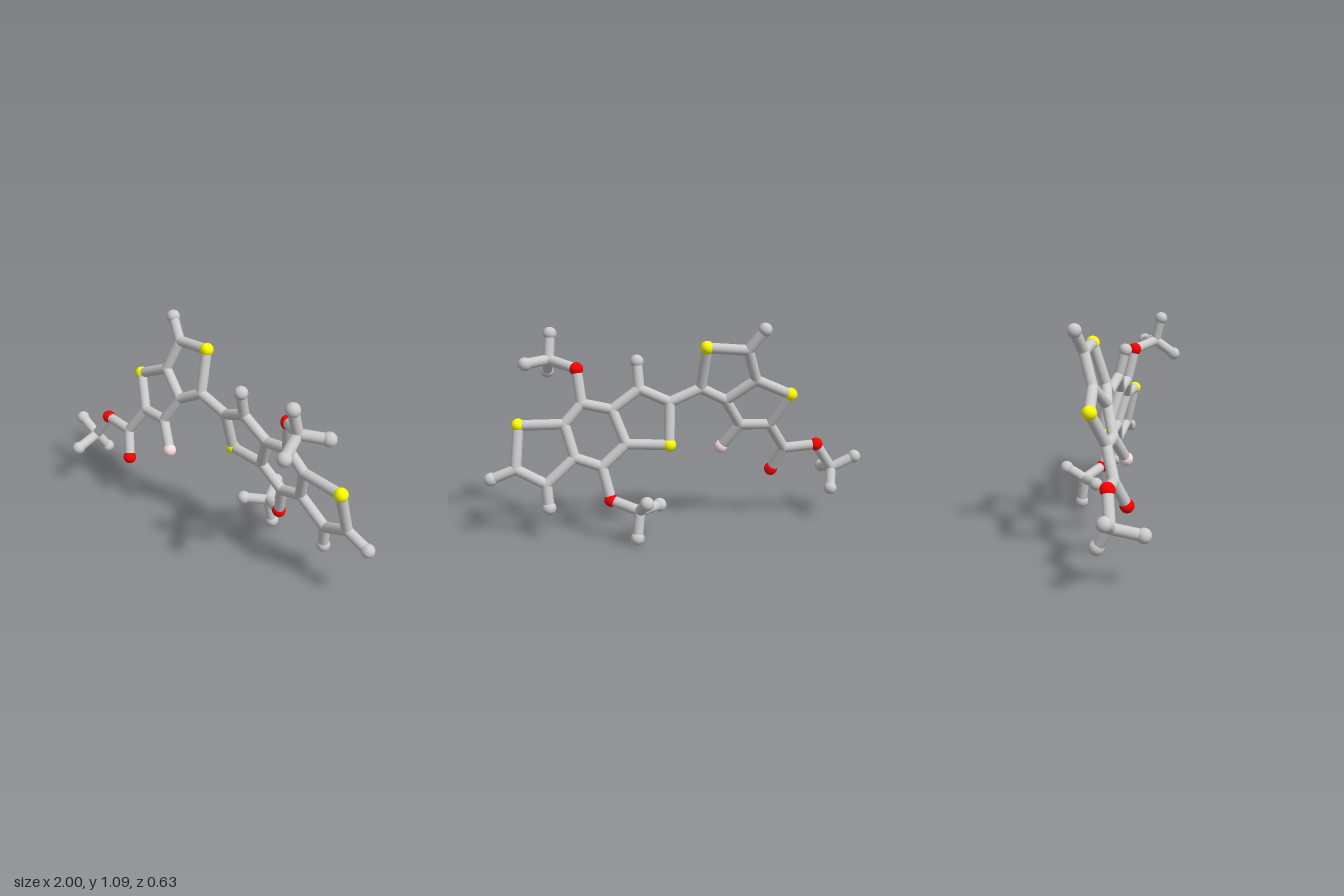
import * as THREE from 'three';

const ROD = 0.027, BALL = 0.035;
const COLORS = { grey: 0xcccccc, yellow: 0xffff00, red: 0xff0000, pink: 0xf8dbe1 };

// Each fused ring system is flat: z follows from x and y.
const leftPlane = (x, y) => 0.248 + 0.105 * x - 0.336 * y;
const rightPlane = (x, y) => -0.207 + 0.134 * x + 0.245 * y;

// Joints are rod-wide, ends and coloured atoms are larger balls: [kind, x, y, z or plane]
const ATOMS = {
  // left double ring
  a1: ['joint', -0.325, 0.955, leftPlane], a2: ['yellow', -0.12, 0.97, leftPlane],
  a3: ['joint', -0.1, 0.755, -0.025], a4: ['joint', -0.235, 0.685, leftPlane],
  a5: ['joint', -0.38, 0.795, leftPlane], a6: ['yellow', -0.565, 0.713, leftPlane],
  a7: ['joint', -0.475, 0.545, leftPlane], a8: ['joint', -0.32, 0.545, leftPlane],
  a9: ['grey', -0.4, 1.06, -0.14], a10: ['pink', -0.23, 0.415, 0.085],
  // left side chain
  b1: ['joint', -0.57, 0.4, 0.06], b2: ['red', -0.515, 0.27, 0.115],
  b3: ['red', -0.745, 0.415, 0.05], b4: ['joint', -0.84, 0.275, 0.07],
  b5: ['grey', -0.965, 0.335, 0.06], b6: ['grey', -0.835, 0.245, 0.215],
  b7: ['grey', -0.82, 0.178, 0.01],
  // right triple ring
  c1: ['joint', 0.06, 0.69, rightPlane], c2: ['yellow', 0.07, 0.48, rightPlane],
  c3: ['joint', 0.285, 0.485, rightPlane], c4: ['joint', 0.35, 0.655, rightPlane],
  c5: ['joint', 0.21, 0.755, rightPlane], c6: ['joint', 0.5, 0.685, rightPlane],
  c7: ['joint', 0.59, 0.585, rightPlane], c8: ['joint', 0.545, 0.42, rightPlane],
  c9: ['joint', 0.41, 0.375, rightPlane], c10: ['yellow', 0.82, 0.58, rightPlane],
  c11: ['joint', 0.84, 0.365, rightPlane], c12: ['joint', 0.69, 0.29, rightPlane],
  c13: ['grey', 0.217, 0.89, 0.04], c14: ['grey', 0.965, 0.315, 0.005],
  c15: ['grey', 0.68, 0.17, -0.06],
  // upper side chain
  d1: ['red', 0.52, 0.855, 0.067], d2: ['joint', 0.655, 0.89, 0.175],
  d3: ['grey', 0.645, 1.018, 0.207], d4: ['grey', 0.775, 0.88, 0.106],
  d5: ['grey', 0.665, 0.813, 0.28],
  // lower side chain
  e1: ['red', 0.37, 0.21, -0.1], e2: ['joint', 0.235, 0.172, -0.185],
  e3: ['grey', 0.21, 0.24, -0.28], e4: ['grey', 0.125, 0.175, -0.11],
  e5: ['grey', 0.25, 0.036, -0.203],
};

// Chains of joined atoms
const CHAINS = {
  leftRingRod: ['a1 a2 a3 a4 a5 a1', 'a5 a6 a7 a8 a4', 'a1 a9', 'a8 a10'],
  leftChainRod: ['a7 b1 b3 b4 b5', 'b1 b2', 'b4 b6', 'b4 b7'],
  linkRod: ['a3 c1'],
  rightRingRod: ['c1 c2 c3 c4 c5 c1', 'c4 c6 c7 c8 c9 c3', 'c7 c10 c11 c12 c8',
    'c5 c13', 'c11 c14', 'c12 c15'],
  upperChainRod: ['c6 d1 d2 d3', 'd2 d4', 'd2 d5'],
  lowerChainRod: ['c9 e1 e2 e3', 'e2 e4', 'e2 e5'],
};

export function createModel() {
  const model = new THREE.Group();
  model.name = 'molecule';
  const materials = {};
  for (const key in COLORS) materials[key] = new THREE.MeshStandardMaterial({ color: COLORS[key] });

  const ballGeometry = new THREE.SphereGeometry(BALL, 28, 18);
  const jointGeometry = new THREE.SphereGeometry(ROD, 24, 16);
  const rodGeometry = new THREE.CylinderGeometry(ROD, ROD, 1, 24, 1, true);
  const up = new THREE.Vector3(0, 1, 0);

  // Balls and joints
  const points = {};
  for (const [id, [kind, x, y, z]] of Object.entries(ATOMS)) {
    const joint = kind === 'joint';
    const mesh = new THREE.Mesh(joint ? jointGeometry : ballGeometry, materials[joint ? 'grey' : kind]);
    mesh.name = joint ? 'joint' : kind + 'Ball';
    mesh.position.set(x, y, typeof z === 'function' ? z(x, y) : z);
    points[id] = mesh.position;
    model.add(mesh);
  }

  // Rods between neighbours
  for (const [name, chains] of Object.entries(CHAINS)) {
    const group = new THREE.Group();
    group.name = name + 's';
    for (const chain of chains) {
      const ids = chain.split(' ');
      for (let i = 1; i < ids.length; i++) {
        const from = points[ids[i - 1]], to = points[ids[i]];
        const direction = to.clone().sub(from);
        const rod = new THREE.Mesh(rodGeometry, materials.grey);
        rod.name = name;
        rod.scale.y = direction.length();
        rod.position.copy(from).add(to).multiplyScalar(0.5);
        rod.quaternion.setFromUnitVectors(up, direction.normalize());
        group.add(rod);
      }
    }
    model.add(group);
  }
  return model;
}
